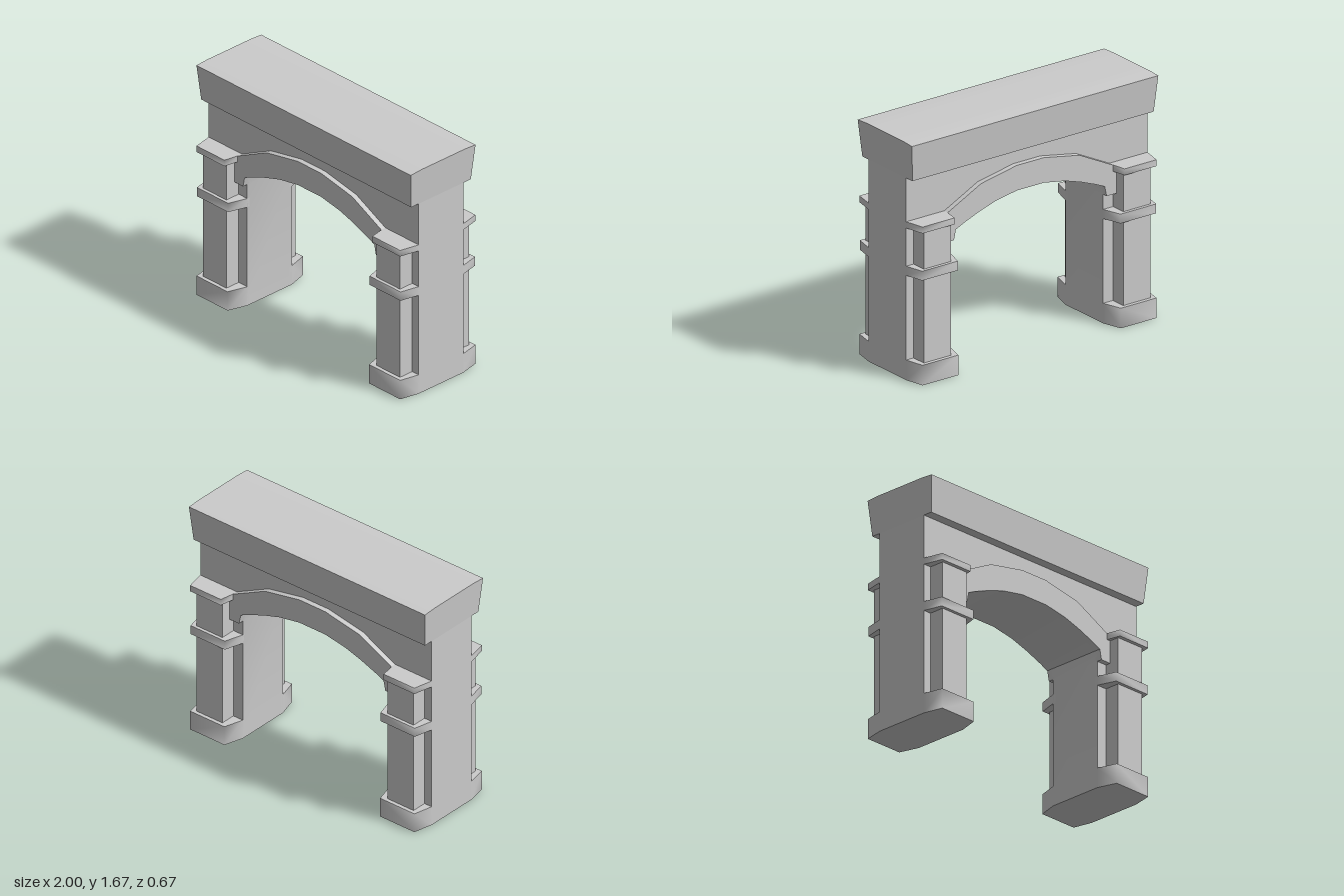
import * as THREE from 'three';
import { toCreasedNormals } from 'three/addons/utils/BufferGeometryUtils.js';

const grey = new THREE.MeshStandardMaterial({ color: 0xcccccc });

function addMesh(parent, name, geometry, crease) {
  const mesh = new THREE.Mesh(toCreasedNormals(geometry, crease), grey);
  mesh.name = name;
  parent.add(mesh);
  return mesh;
}

// Half curves of the arch, from the springing to the crown
const innerHalf = [[0.62, 0.9], [0.605, 0.97], [0.54, 1.0], [0.41, 1.05], [0.28, 1.09], [0.11, 1.12]];
const outerHalf = [[0.7, 0.9], [0.7, 1.09], [0.4, 1.24], [0.11, 1.295]];
const mirrored = (half) => [...half, ...half.map(([x, y]) => [-x, y]).reverse()];

function extrude(points, depth) {
  const shape = new THREE.Shape(points.map(([x, y]) => new THREE.Vector2(x, y)));
  const geometry = new THREE.ExtrudeGeometry(shape, { depth, bevelEnabled: false });
  return geometry.translate(0, 0, -depth / 2);
}

// Upright block narrowing from the wall (z = 0.18) to its front face
function pilasterBlock(y0, y1, back, front, depth) {
  const shape = new THREE.Shape([
    new THREE.Vector2(back[0], -0.18), new THREE.Vector2(back[0], -0.2),
    new THREE.Vector2(front[0], -depth), new THREE.Vector2(front[1], -depth),
    new THREE.Vector2(back[1], -0.2), new THREE.Vector2(back[1], -0.18),
  ]);
  const geometry = new THREE.ExtrudeGeometry(shape, { depth: y1 - y0, bevelEnabled: false });
  return geometry.rotateX(-Math.PI / 2).translate(0, y0, 0);
}

// Same block reflected to the other side, with the face order restored
function mirrorX(geometry) {
  const p = geometry.attributes.position;
  for (let i = 0; i < p.count; i += 3) {
    const a = [p.getX(i), p.getY(i), p.getZ(i)];
    const b = [p.getX(i + 1), p.getY(i + 1), p.getZ(i + 1)];
    p.setXYZ(i, -b[0], b[1], b[2]);
    p.setXYZ(i + 1, -a[0], a[1], a[2]);
    p.setX(i + 2, -p.getX(i + 2));
  }
  return geometry;
}

export function createModel() {
  const model = new THREE.Group();
  model.name = 'archway';

  // Wall with the arched opening
  const opening = mirrored([[0.62, 0], ...innerHalf]);
  const wall = [[0.98, 0], [0.98, 1.43], [-0.98, 1.43], [-0.98, 0], ...opening.reverse()];
  addMesh(model, 'wall', extrude(wall, 0.4), 0.7);

  // Raised band around the arch on both faces
  const band = [...mirrored(innerHalf), ...mirrored(outerHalf).reverse()];
  for (const side of [1, -1]) {
    const geometry = extrude(band, 0.05).translate(0, 0, side * 0.213);
    addMesh(model, side > 0 ? 'frontArchBand' : 'backArchBand', geometry, 0.7);
  }

  // Cornice flaring towards the top
  const cornice = new THREE.BoxGeometry(2, 0.26, 0.58, 1, 1, 6);
  const p = cornice.attributes.position;
  for (let i = 0; i < p.count; i++) {
    if (p.getY(i) < 0) {
      p.setX(i, p.getX(i) * 0.98);
      p.setZ(i, p.getZ(i) * 0.92);
    } else if (Math.abs(p.getZ(i)) > 0.28) {
      p.setY(i, 0.124);
    }
  }
  addMesh(model, 'cornice', cornice.translate(0, 1.54, 0), 0.7);

  // Four pilasters: base, shaft, middle moulding and capital
  const blocks = [
    ['base', 0, 0.14, [0.62, 0.98], [0.66, 0.95], 0.337],
    ['shaft', 0.13, 1.07, [0.7, 0.92], [0.7, 0.92], 0.31],
    ['moulding', 0.73, 0.795, [0.62, 0.98], [0.66, 0.95], 0.333],
    ['capital', 1.06, 1.105, [0.665, 0.98], [0.69, 0.95], 0.337],
  ];
  for (const face of ['front', 'back']) {
    for (const hand of ['Left', 'Right']) {
      const pilaster = new THREE.Group();
      pilaster.name = face + hand + 'Pilaster';
      // A half turn of the back pair swaps the sides
      const flip = (hand === 'Right') !== (face === 'back');
      for (const [name, ...spec] of blocks) {
        const geometry = pilasterBlock(...spec).toNonIndexed();
        addMesh(pilaster, name, flip ? mirrorX(geometry) : geometry, 1.4);
      }
      if (face === 'back') pilaster.rotation.y = Math.PI;
      model.add(pilaster);
    }
  }
  return model;
}
